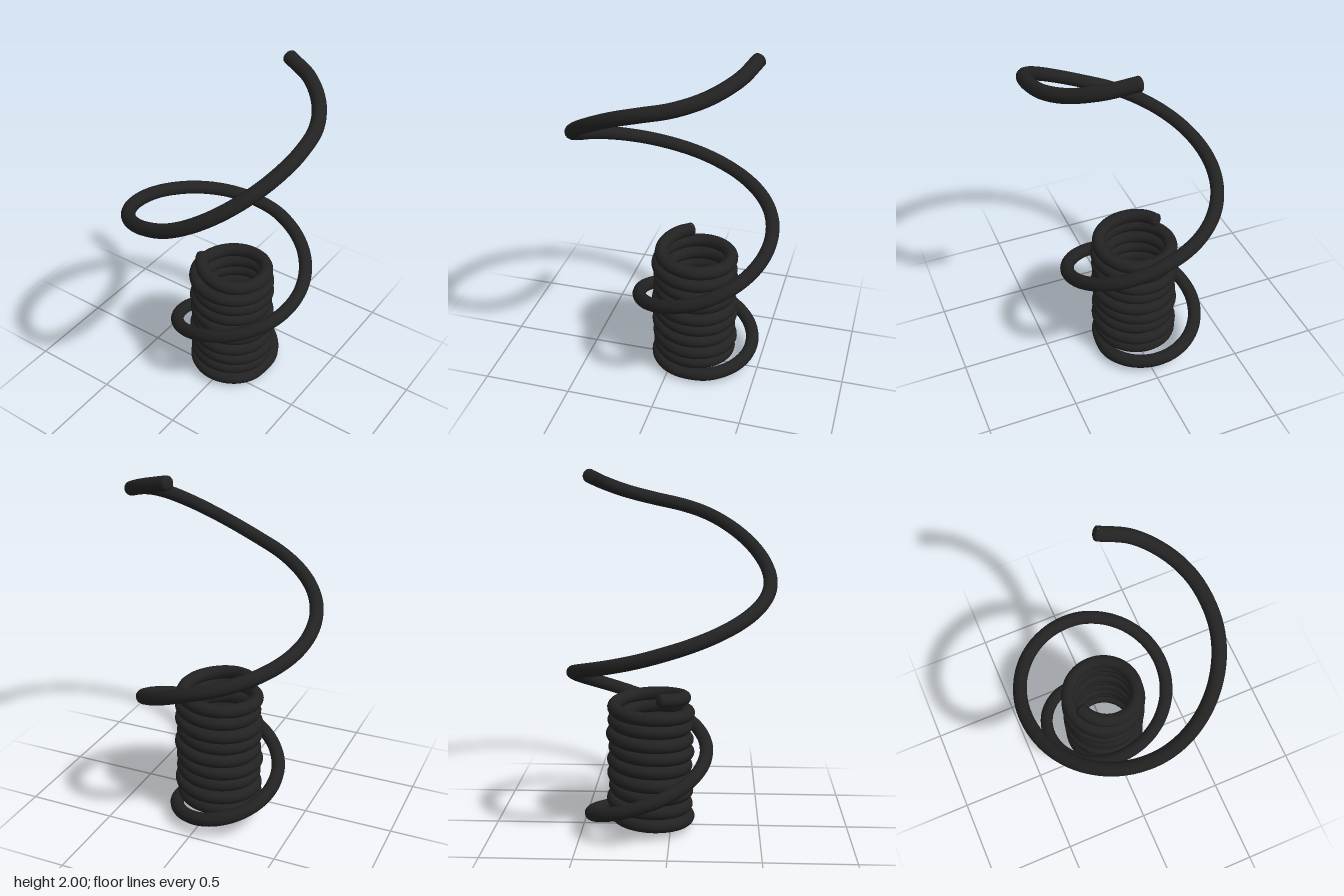
import * as THREE from 'three';

const WIRE = 0.038;

// Turning points of the loose spiral, alternating sideways and front/back extremes
const TURNS = [
  [0.495, 1.78, 0.05], [0.03, 1.41, 0.54], [-0.495, 1.11, -0.02], [0, 0.89, -0.54],
  [0.39, 0.65, -0.17], [0, 0.445, 0.2], [-0.36, 0.24, -0.15], [-0.08, 0.1, -0.445],
  [0.21, 0.04, -0.15],
];

function wirePath() {
  const points = [
    [0.11, 1.965, -0.45], [0.27, 1.92, -0.39], [0.4, 1.865, -0.27], [0.475, 1.82, -0.12],
  ].map((p) => new THREE.Vector3(...p));

  // Loose spiral: a quarter ellipse between each pair of turning points
  const heights = new THREE.SplineCurve(TURNS.map((p, i) => new THREE.Vector2(i, p[1])));
  const steps = 6;
  const last = TURNS.length - 1;
  for (let i = 0; i < last; i++) {
    const a = TURNS[i], b = TURNS[i + 1];
    for (let k = 0; k < steps; k++) {
      const t = (k / steps) * Math.PI / 2;
      const s = Math.sin(t), c = Math.cos(t);
      const y = heights.getPoint((i + k / steps) / last).y;
      const x = i % 2 ? a[0] + (b[0] - a[0]) * s : b[0] + (a[0] - b[0]) * c;
      const z = i % 2 ? b[2] + (a[2] - b[2]) * c : a[2] + (b[2] - a[2]) * s;
      points.push(new THREE.Vector3(x, y, z));
    }
  }

  // Tight coil: slightly uneven turns, the free end curling up and inward
  const turns = 9.44, perTurn = 16;
  const count = Math.round(turns * perTurn);
  for (let i = 0; i <= count; i++) {
    const t = (i / count) * turns;
    const angle = t * Math.PI * 2;
    const end = THREE.MathUtils.smoothstep(t, 9.1, turns);
    const r = 0.205 + 0.007 * Math.sin(t * 3.9 + 0.8) - 0.028 * end;
    points.push(new THREE.Vector3(
      -0.01 + r * Math.cos(angle),
      0.038 + 0.0765 * t + 0.02 * end,
      -0.115 + r * Math.sin(angle),
    ));
  }
  const curve = new THREE.CatmullRomCurve3(points, false, 'centripetal');
  curve.arcLengthDivisions = 3000;
  return curve;
}

export function createModel() {
  const model = new THREE.Group();
  model.name = 'coiledWire';
  const black = new THREE.MeshStandardMaterial({ color: 0x222222 });
  black.name = 'black';

  // Wire
  const path = wirePath();
  const wire = new THREE.Mesh(new THREE.TubeGeometry(path, 1000, WIRE, 16, false), black);
  wire.name = 'wire';
  model.add(wire);

  // Blunt rounded ends
  for (const [name, u, sign] of [['upperEnd', 0, -1], ['coilEnd', 1, 1]]) {
    const cap = new THREE.Mesh(
      new THREE.SphereGeometry(WIRE, 16, 6, 0, Math.PI * 2, 0, Math.PI / 2), black);
    cap.name = name;
    cap.scale.y = 0.5;
    cap.position.copy(path.getPointAt(u));
    cap.quaternion.setFromUnitVectors(
      new THREE.Vector3(0, 1, 0), path.getTangentAt(u).multiplyScalar(sign));
    model.add(cap);
  }
  return model;
}
